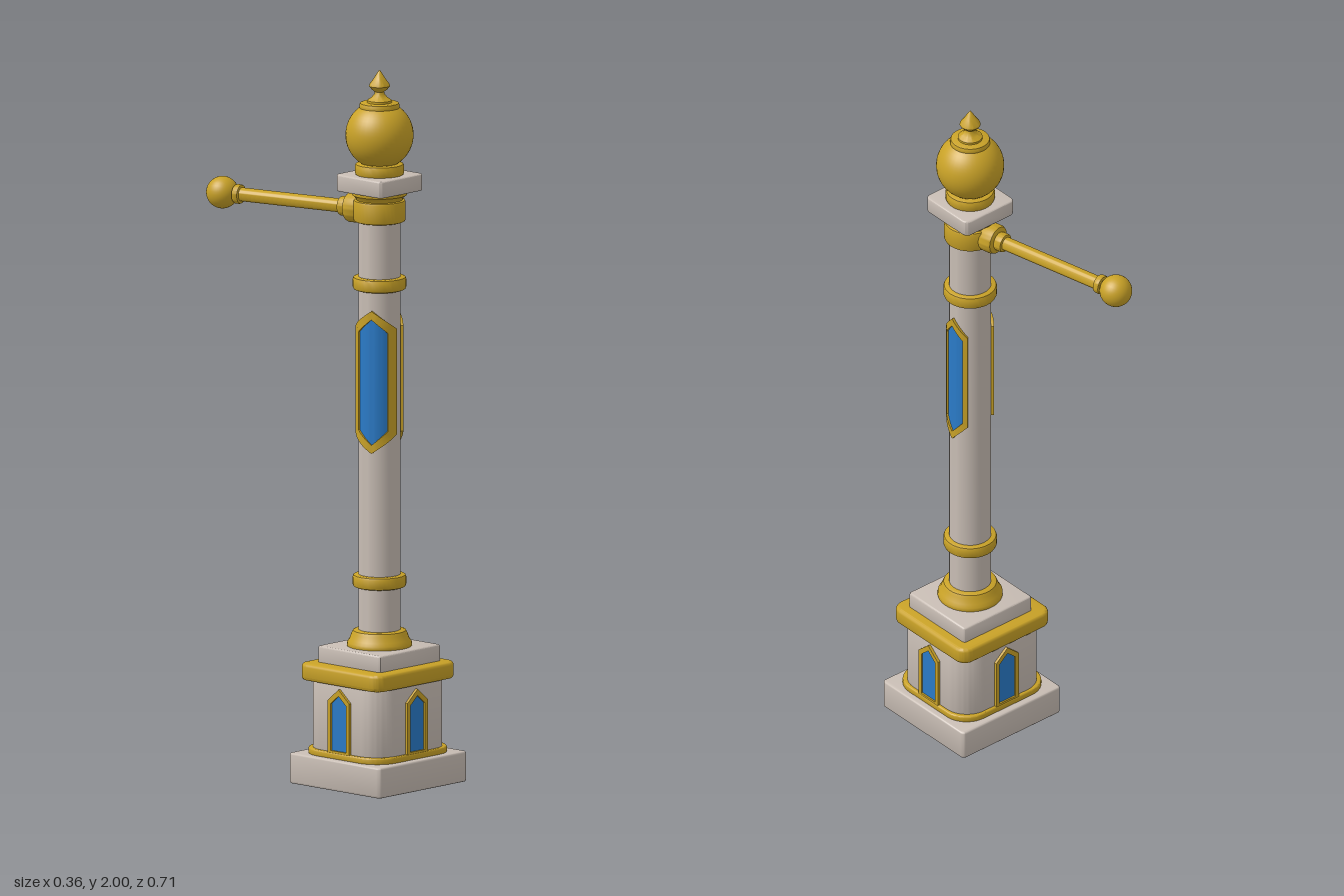
import * as THREE from 'three';
import { toCreasedNormals } from 'three/addons/utils/BufferGeometryUtils.js';

const mat = (name, color) => {
  const m = new THREE.MeshStandardMaterial({ color });
  m.name = name;
  return m;
};

export function createModel() {
  const gold = mat('gold', 0xc9a227);
  const stone = mat('pale stone', 0xc8bdb4);
  const blue = mat('blue glass', 0x2a7bc8);
  const model = new THREE.Group();
  const CX = 0.003, CZ = 0.182; // post axis

  const add = (name, geometry, material, parent = model, x = 0, y = 0, z = 0) => {
    const mesh = new THREE.Mesh(geometry, material);
    mesh.name = name;
    mesh.position.set(x, y, z);
    parent.add(mesh);
    return mesh;
  };

  // Square slab with rounded corners (r) and softened rims (b)
  function slab(name, material, x, z, hx, hz, y0, y1, r, b) {
    const X = hx - b, Z = hz - b, R = Math.max(r - b, 0.002);
    const s = new THREE.Shape();
    [[X - R, Z - R, 0], [R - X, Z - R, 1], [R - X, R - Z, 2], [X - R, R - Z, 3]].forEach(([cx, cz, q]) =>
      s.absarc(cx, cz, R, q * Math.PI / 2, (q + 1) * Math.PI / 2, false));
    const g = new THREE.ExtrudeGeometry(s, {
      depth: y1 - y0 - 2 * b, bevelEnabled: true, bevelSize: b, bevelThickness: b, bevelSegments: 3, curveSegments: 8,
    });
    g.translate(0, 0, b);
    g.rotateX(-Math.PI / 2);
    add(name, toCreasedNormals(g, 0.6), material, model, x, y0, z);
  }

  // Turned part; profile is a list of [radius, height]
  const turned = (name, profile, material, parent = model, x = CX, y = 0, z = CZ) =>
    add(name, toCreasedNormals(new THREE.LatheGeometry(profile.map(p => new THREE.Vector2(...p)), 40), 0.6),
      material, parent, x, y, z);

  // Profile of a ring with rounded edges
  const ring = (r, y0, y1, b = 0.008) => [[0, y0], [r - b, y0], [r - b * 0.3, y0 + b * 0.3], [r, y0 + b],
    [r, y1 - b], [r - b * 0.3, y1 - b * 0.3], [r - b, y1], [0, y1]];

  // Pedestal
  slab('baseSlab', stone, 0, 0.179, 0.178, 0.172, 0, 0.086, 0.012, 0.006);
  slab('pedestalFootTrim', gold, -0.001, 0.179, 0.16, 0.152, 0.084, 0.103, 0.072, 0.004);
  slab('pedestalBody', stone, -0.001, 0.179, 0.151, 0.143, 0.095, 0.3, 0.072, 0.004);
  slab('pedestalBand', gold, -0.001, 0.179, 0.163, 0.154, 0.291, 0.339, 0.036, 0.01);
  slab('pedestalStep', stone, 0.005, 0.179, 0.123, 0.118, 0.33, 0.385, 0.008, 0.005);

  // Pointed doors on the four pedestal sides
  const pointed = (P, w, y0, yShoulder, yTip) => {
    const p = new P();
    p.moveTo(-w, y0);
    p.lineTo(w, y0);
    p.lineTo(w, yShoulder);
    p.lineTo(0, yTip);
    p.lineTo(-w, yShoulder);
    p.closePath();
    return p;
  };
  const frameShape = pointed(THREE.Shape, 0.041, 0.1, 0.247, 0.282);
  frameShape.holes.push(pointed(THREE.Path, 0.029, 0.108, 0.239, 0.264));
  const frameGeo = new THREE.ExtrudeGeometry(frameShape, { depth: 0.012, bevelEnabled: false });
  const paneGeo = new THREE.ExtrudeGeometry(pointed(THREE.Shape, 0.031, 0.104, 0.24, 0.266), { depth: 0.007, bevelEnabled: false });
  for (let i = 0; i < 4; i++) {
    const door = new THREE.Group();
    door.name = 'pedestalDoor';
    door.position.set(-0.001, 0, 0.179);
    door.rotation.y = i * Math.PI / 2;
    const d = (i % 2 ? 0.151 : 0.143) - 0.004;
    add('doorFrame', frameGeo, gold, door, 0, 0, d);
    add('doorPane', paneGeo, blue, door, 0, 0, d);
    model.add(door);
  }

  // Column
  turned('columnFoot', [[0, 0.38], [0.088, 0.38], [0.09, 0.388], [0.089, 0.396], [0.083, 0.404], [0.077, 0.42],
    [0.073, 0.428], [0.066, 0.431], [0, 0.431]], gold);
  turned('columnShaft', [[0, 0.42], [0.058, 0.42], [0.058, 1.6], [0, 1.6]], stone);
  turned('lowerRing', ring(0.074, 0.55, 0.586), gold);
  turned('upperRing', ring(0.074, 1.384, 1.421), gold);
  turned('neckCollar', ring(0.072, 1.575, 1.636, 0.006), gold);
  turned('neckLip', [[0, 1.63], [0.062, 1.63], [0.066, 1.642], [0.076, 1.65], [0.077, 1.664], [0, 1.664]], gold);
  slab('capital', stone, CX, CZ, 0.089, 0.088, 1.66, 1.707, 0.018, 0.004);

  // Long pointed windows wrapped around the shaft
  const facets = (quads) => {
    const g = new THREE.BufferGeometry();
    const points = quads.flatMap(([a, b, c, d]) => [a, b, c, a, c, d]);
    g.setAttribute('position', new THREE.Float32BufferAttribute(points.flat(), 3));
    return toCreasedNormals(g, 0.5);
  };
  const polar = (a, y, r) => [r * Math.sin(a), y, r * Math.cos(a)];
  const hexLoop = (w, lo, bottom) => {
    const mid = 1.133, hi = 2 * mid - lo, top = 2 * mid - bottom;
    const c = [[-w, lo], [0, bottom], [w, lo], [w, hi], [0, top], [-w, hi]];
    const out = [];
    c.forEach((p, i) => {
      const q = c[(i + 1) % 6];
      for (let k = 0; k < 8; k++) out.push([p[0] + (q[0] - p[0]) * k / 8, p[1] + (q[1] - p[1]) * k / 8]);
    });
    return out;
  };
  function columnWindow(angle, halfAngle, border) {
    const group = new THREE.Group();
    group.name = 'columnWindow';
    group.position.set(CX, 0, CZ);
    group.rotation.y = angle;
    const outer = hexLoop(halfAngle, 0.985, 0.933), w = halfAngle - border;
    const inner = hexLoop(w, 0.995, 0.957);
    const sections = outer.map((o, i) => [polar(...o, 0.056), polar(...o, 0.066), polar(...inner[i], 0.066), polar(...inner[i], 0.056)]);
    const frame = [], pane = [];
    sections.forEach((s, i) => {
      const n = sections[(i + 1) % sections.length];
      for (let k = 0; k < 4; k++) frame.push([s[k], n[k], n[(k + 1) % 4], s[(k + 1) % 4]]);
    });
    const low = (u) => 0.957 + 0.038 * Math.abs(u);
    for (let i = 0; i < 16; i++) {
      const u = i / 8 - 1, v = u + 1 / 8;
      pane.push([polar(u * w, low(u), 0.061), polar(v * w, low(v), 0.061),
        polar(v * w, 2.266 - low(v), 0.061), polar(u * w, 2.266 - low(u), 0.061)]);
    }
    add('windowFrame', facets(frame), gold, group);
    add('windowPane', facets(pane), blue, group);
    model.add(group);
  }
  columnWindow(Math.PI / 2, 0.76, 0.23);
  columnWindow(-1.17, 1.17, 0.46);

  // Globe and finial
  turned('globeNeck', ring(0.068, 1.704, 1.738, 0.008), gold);
  add('globe', new THREE.SphereGeometry(0.094, 40, 28), gold, model, CX, 1.817, CZ);
  turned('globeCap', ring(0.055, 1.886, 1.908, 0.006), gold);
  turned('finial', [[0, 1.9], [0.034, 1.908], [0.034, 1.914], [0.022, 1.922], [0.014, 1.932], [0.013, 1.938],
    [0.022, 1.945], [0.029, 1.954], [0.027, 1.96], [0.016, 1.975], [0.007, 1.99], [0, 2]], gold);

  // Side arm, built along +y and laid down toward the back
  const arm = new THREE.Group();
  arm.name = 'sideArm';
  const tip = new THREE.Vector3(-0.104, 1.606, -0.31), root = new THREE.Vector3(CX, 1.606, CZ);
  const length = tip.distanceTo(root);
  arm.position.copy(root);
  arm.quaternion.setFromUnitVectors(new THREE.Vector3(0, 1, 0), tip.clone().sub(root).normalize());
  model.add(arm);
  const armPart = (name, profile) => turned(name, profile, gold, arm, 0, 0, 0);
  armPart('armRod', [[0, 0.04], [0.019, 0.04], [0.019, length], [0, length]]);
  armPart('armFlange', ring(0.042, 0.05, 0.1, 0.01));
  armPart('armRootCollar', ring(0.027, 0.098, 0.124, 0.005));
  armPart('armTipCollar', ring(0.027, length - 0.062, length - 0.042, 0.005));
  add('armBall', new THREE.SphereGeometry(0.045, 32, 24), gold, arm, 0, length, 0);

  return model;
}
